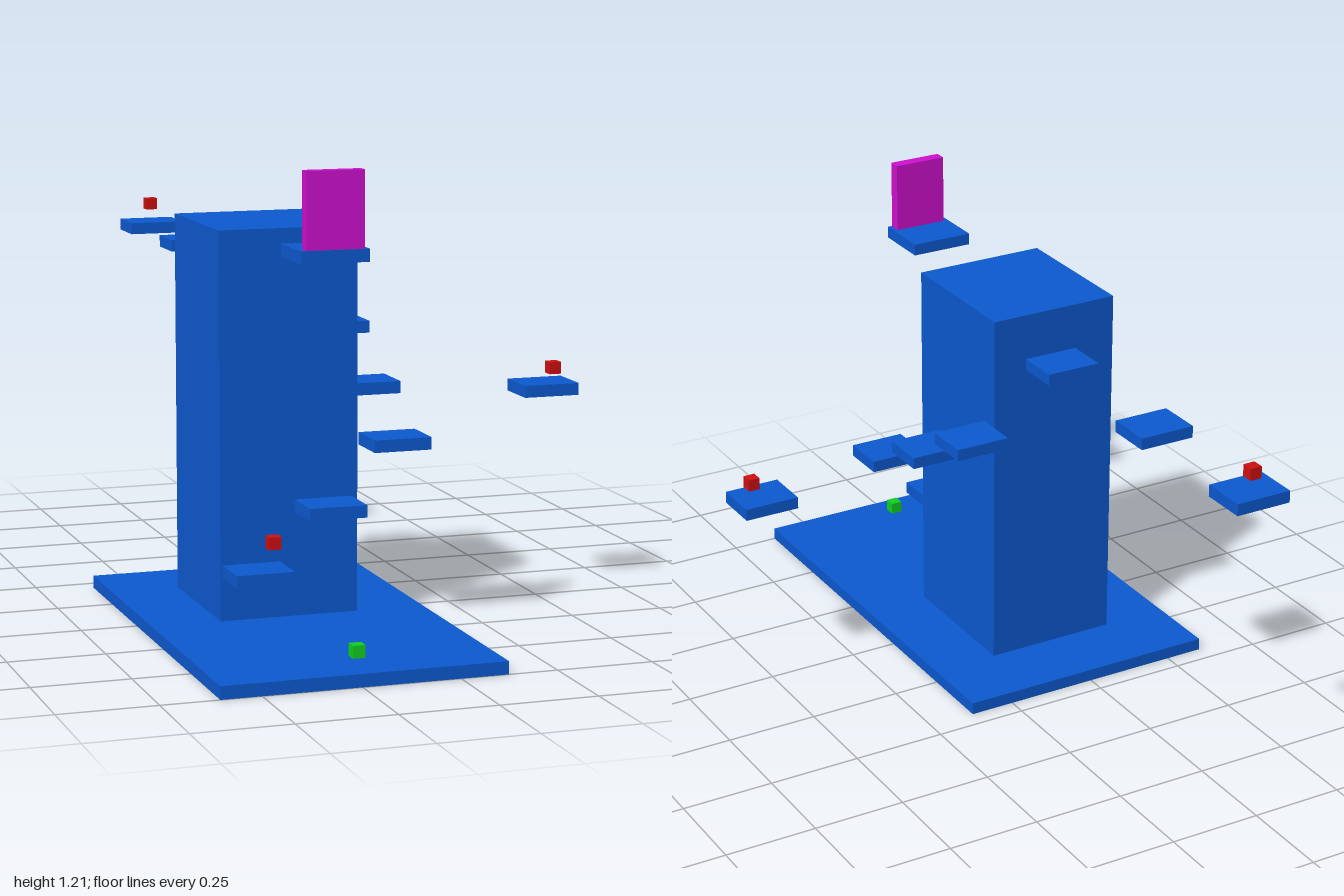
import * as THREE from 'three';

export function createModel() {
  const model = new THREE.Group();
  const paint = (color) => new THREE.MeshStandardMaterial({ color });
  const blue = paint(0x0d5ad2);
  const red = paint(0xd01010);
  const green = paint(0x10d020);
  const magenta = paint(0xd010d0);

  // Box given by its size and centre
  function box(name, material, [w, h, d], [x, y, z]) {
    const mesh = new THREE.Mesh(new THREE.BoxGeometry(w, h, d), material);
    mesh.name = name;
    mesh.position.set(x, y, z);
    model.add(mesh);
  }

  // Ground slab and central tower
  box('base', blue, [0.726, 0.033, 1.2], [-0.24, 0.0165, 0.4]);
  box('tower', blue, [0.366, 1.0, 0.4], [-0.24, 0.531, 0.2]);

  // Floating steps winding up around the tower, plus outlying ones
  const steps = [
    [-0.343, 0.163, 0.468],
    [-0.151, 0.321, 0.468],
    [0.024, 0.483, 0.458],
    [0.024, 0.59, 0.225],
    [0.024, 0.714, -0.018],
    [-0.23, 0.889, -0.056],
    [-0.23, 0.889, -0.51],
    [-0.23, 0.889, -0.938],
    [0.526, 0.558, 0.225],
  ];
  steps.forEach((p, i) => box(`step${i + 1}`, blue, [0.152, 0.032, 0.125], p));

  // Goal ledge with its upright door
  box('goalLedge', blue, [0.174, 0.032, 0.16], [-0.242, 1.003, 0.695]);
  box('goalDoor', magenta, [0.148, 0.191, 0.033], [-0.241, 1.1145, 0.755]);

  // Small cubes hovering over the steps and the ground
  const cube = [0.032, 0.032, 0.032];
  box('pickup1', red, cube, [-0.325, 0.26, 0.537]);
  box('pickup2', red, cube, [0.55, 0.611, 0.235]);
  box('pickup3', red, cube, [-0.23, 0.953, -0.947]);
  box('startMarker', green, cube, [-0.231, 0.065, 0.902]);

  return model;
}
